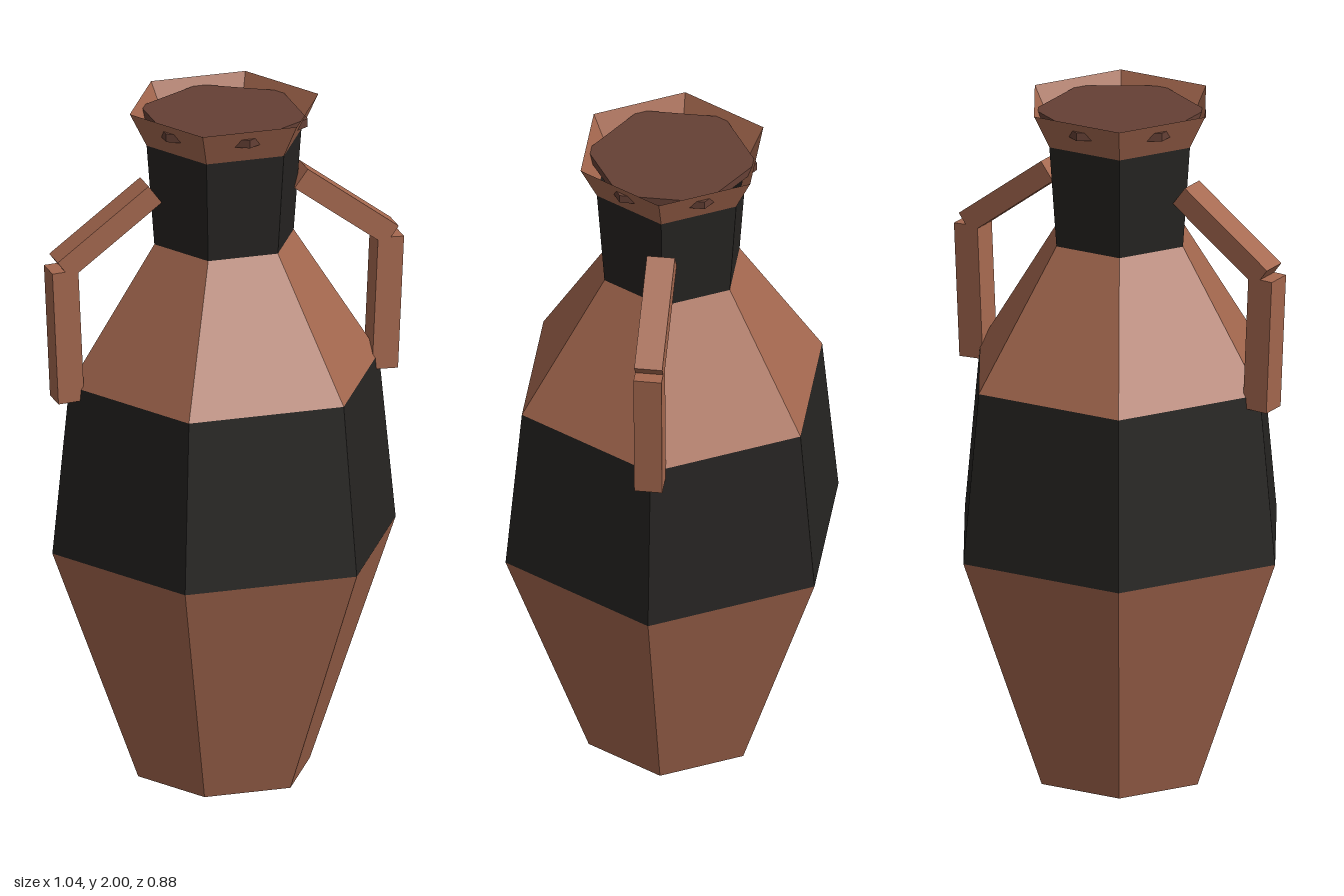
import * as THREE from 'three';

const material = (color) =>
  new THREE.MeshStandardMaterial({ color, flatShading: true, side: THREE.DoubleSide });

export function createModel() {
  const vase = new THREE.Group();
  vase.name = 'vase';
  const clay = material(0xa5684f);
  const black = material(0x262422);
  const dark = material(0x654035);

  const add = (name, geometry, mat, parent = vase) => {
    const mesh = new THREE.Mesh(geometry, mat);
    mesh.name = name;
    parent.add(mesh);
    return mesh;
  };

  // Six-sided bands stacked from foot to rim, with corners on the x axis
  const bands = [
    ['lowerBody', 0, 0.255, 0.7, 0.51, clay],
    ['bellyBand', 0.7, 0.51, 1.2, 0.46, black],
    ['shoulder', 1.2, 0.46, 1.6, 0.207, clay],
    ['neck', 1.6, 0.207, 1.9, 0.23, black],
    ['rim', 1.9, 0.23, 2, 0.28, clay],
  ];
  for (const [name, y0, r0, y1, r1, mat] of bands) {
    const band = new THREE.CylinderGeometry(r1, r0, y1 - y0, 6, 1, true);
    band.rotateY(Math.PI / 6).translate(0, (y0 + y1) / 2, 0);
    add(name, band, mat);
  }

  // Closed underside
  const base = new THREE.CircleGeometry(0.255, 6);
  base.rotateX(Math.PI / 2);
  add('base', base, clay);

  // Stopper turned against the rim, so its corners poke through the rim faces
  const stopper = new THREE.CylinderGeometry(0.243, 0.243, 0.024, 6);
  stopper.translate(0, 1.963, 0);
  add('stopper', stopper, dark);

  // Two-bar handles on both sides
  const bar = (name, x0, y0, x1, y1, width, parent) => {
    const length = Math.hypot(x1 - x0, y1 - y0);
    const mesh = add(name, new THREE.BoxGeometry(width, length, 0.08), clay, parent);
    mesh.position.set((x0 + x1) / 2, (y0 + y1) / 2, 0);
    mesh.rotation.z = Math.atan2(x0 - x1, y1 - y0);
  };
  for (const side of [1, -1]) {
    const handle = new THREE.Group();
    handle.name = side > 0 ? 'leftHandle' : 'rightHandle';
    bar('handleUpright', side * 0.466, 1.165, side * 0.484, 1.56, 0.077, handle);
    bar('handleArm', side * 0.487, 1.564, side * 0.217, 1.765, 0.066, handle);
    vase.add(handle);
  }

  return vase;
}
